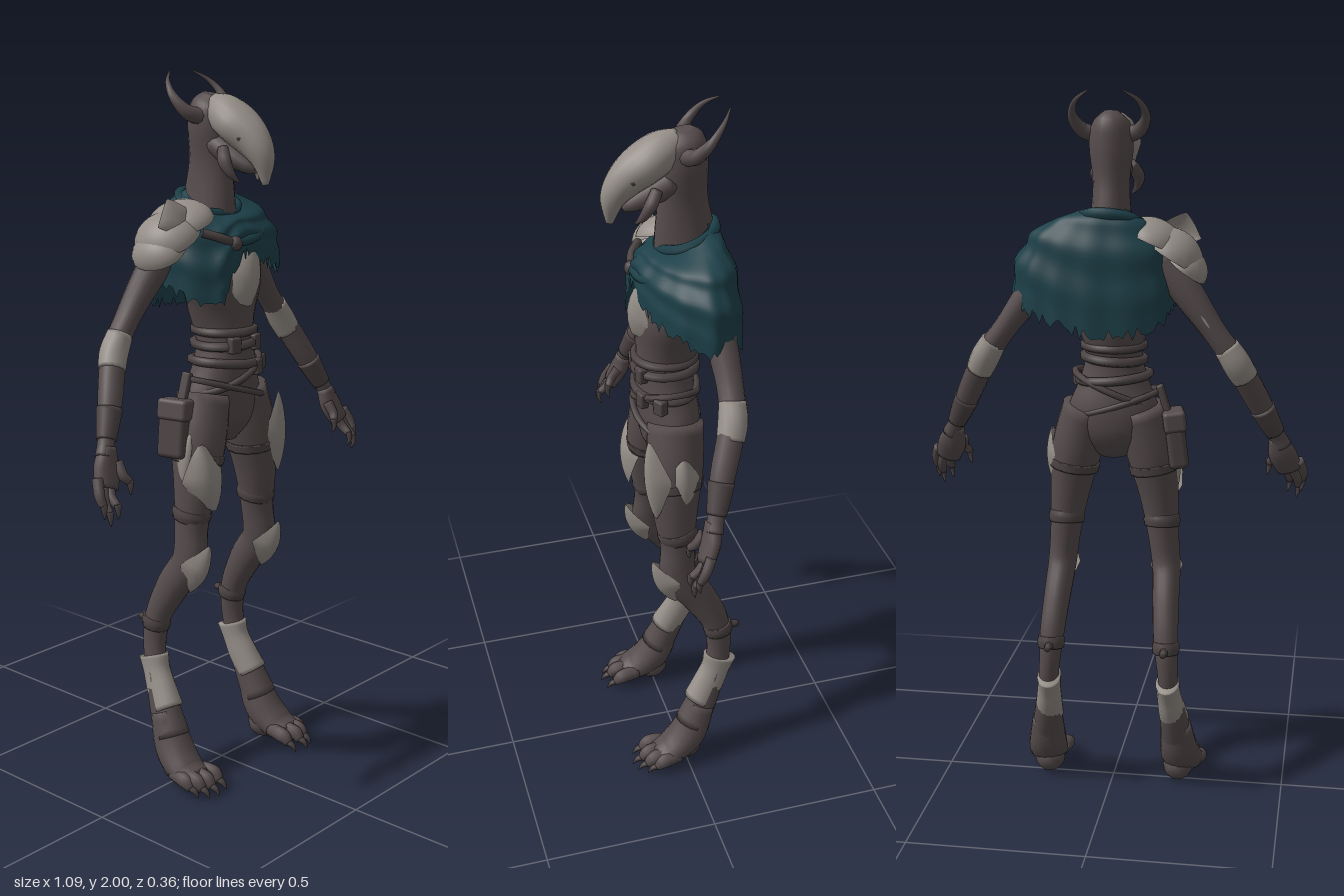
import * as THREE from 'three';
import { RoundedBoxGeometry } from 'three/addons/geometries/RoundedBoxGeometry.js';

const V = (x, y, z) => new THREE.Vector3(x, y, z);

// Indexed grid of rows x cols points, optionally closed around its columns
function grid(rows, cols, wrap, fn) {
  const pos = [], idx = [];
  for (let i = 0; i <= rows; i++)
    for (let j = 0; j < (wrap ? cols : cols + 1); j++) pos.push(...fn(i, j).toArray());
  const n = wrap ? cols : cols + 1;
  for (let i = 0; i < rows; i++)
    for (let j = 0; j < cols; j++) {
      const a = i * n + j, b = i * n + (j + 1) % n;
      idx.push(a, b, a + n, b, b + n, a + n);
    }
  const g = new THREE.BufferGeometry();
  g.setAttribute('position', new THREE.Float32BufferAttribute(pos, 3));
  g.setIndex(idx);
  g.computeVertexNormals();
  return g;
}

// Closed tapering body along a spline; each point is [x, y, z, radiusAcross, radiusDeep]
function limbGeometry(pts, sides = 14, ref = V(1, 0, 0)) {
  const path = new THREE.CatmullRomCurve3(pts.map(p => V(p[0], p[1], p[2])), false, 'catmullrom');
  const size = new THREE.CatmullRomCurve3(pts.map(p => V(p[3], p[4] ?? p[3], 0)), false, 'catmullrom');
  const steps = (pts.length - 1) * 5;
  return grid(steps + 2, sides, true, (i, j) => {
    const t = THREE.MathUtils.clamp((i - 1) / steps, 0, 1);
    const c = path.getPoint(t), r = size.getPoint(t), d = path.getTangent(t);
    const across = ref.clone().addScaledVector(d, -ref.dot(d)).normalize();
    const deep = d.clone().cross(across);
    const k = i === 0 || i === steps + 2 ? 0 : 1, a = j / sides * Math.PI * 2;
    return c.addScaledVector(across, k * Math.max(r.x, 0.002) * Math.cos(a))
      .addScaledVector(deep, k * Math.max(r.y, 0.002) * Math.sin(a));
  });
}

// Pointed curved armour plate bulging toward +z
function plateGeometry(w, h, d, sharp = 0.6) {
  return grid(12, 10, false, (i, j) => {
    const v = i / 6 - 1, u = j / 5 - 1;
    const p = Math.pow(Math.max(1 - Math.abs(v), 0.02), sharp);
    return V(u * w * p, v * h, d * (1 - u * u * p) * (1 - 0.4 * v * v));
  });
}

// Closed belt around an elliptical waist
function beltGeometry(y, rx, rz, r, tilt = 0, cz = 0) {
  const pts = [];
  for (let k = 0; k < 16; k++) {
    const a = k / 16 * Math.PI * 2;
    pts.push(V(rx * Math.cos(a), y + tilt * Math.cos(a), cz + rz * Math.sin(a)));
  }
  return new THREE.TubeGeometry(new THREE.CatmullRomCurve3(pts, true), 48, r, 6, true);
}

export function createModel() {
  const model = new THREE.Group();
  const material = (name, color, side = THREE.FrontSide) => {
    const m = new THREE.MeshStandardMaterial({ color, side });
    m.name = name;
    return m;
  };
  const skin = material('dark hide', 0x564c4d);
  const bone = material('weathered bone', 0x958e88, THREE.DoubleSide);
  const cloth = material('teal cloth', 0x1d4049, THREE.DoubleSide);
  const leather = material('dark leather', 0x4d4444);
  const claw = material('claw', 0x463d3d);

  const add = (name, geometry, mat, p = [0, 0, 0], r = [0, 0, 0]) => {
    const m = new THREE.Mesh(geometry, mat);
    m.name = name;
    m.position.set(...p);
    m.rotation.set(...r);
    model.add(m);
    return m;
  };
  const limb = (name, mat, pts, s = 1, sides, ref) =>
    add(name, limbGeometry(pts.map(([x, ...q]) => [s * x, ...q]), sides, ref), mat);

  // Torso, neck and head
  limb('torso', skin, [[0, 1.63, -0.055, 0.08, 0.055], [0, 1.55, -0.035, 0.16, 0.085], [0, 1.45, -0.005, 0.135, 0.095],
    [0, 1.36, 0, 0.1, 0.09], [0, 1.28, 0.01, 0.08, 0.08], [0, 1.2, 0.01, 0.1, 0.083],
    [0, 1.12, 0, 0.13, 0.085], [0, 1.05, 0, 0.11, 0.075], [0, 0.99, 0, 0.04, 0.04]], 1, 24);
  limb('neck', skin, [[0, 1.56, -0.05, 0.07, 0.09], [0, 1.67, -0.045, 0.055, 0.08], [0, 1.76, -0.04, 0.05, 0.067],
    [0, 1.85, -0.04, 0.06, 0.066], [0, 1.91, -0.04, 0.052, 0.06], [0, 1.942, -0.035, 0.02, 0.03]], 1, 20);
  limb('skullMask', bone, [[0, 1.915, -0.035, 0.03, 0.032], [0, 1.892, 0.008, 0.055, 0.052], [0, 1.86, 0.062, 0.066, 0.054],
    [0, 1.822, 0.112, 0.05, 0.048], [0, 1.775, 0.145, 0.033, 0.034], [0, 1.708, 0.155, 0.006, 0.01]], 1, 18);
  limb('jaw', skin, [[0, 1.81, -0.01, 0.05, 0.04], [0, 1.78, 0.05, 0.045, 0.034], [0, 1.755, 0.1, 0.028, 0.022],
    [0, 1.745, 0.122, 0.012, 0.01]]);

  for (const s of [1, -1]) {
    // Head details
    limb('horn', skin, [[0.04, 1.88, -0.035, 0.024], [0.078, 1.895, -0.055, 0.02], [0.098, 1.932, -0.085, 0.013],
      [0.084, 1.972, -0.12, 0.007], [0.045, 2, -0.15, 0.002]], s, 10, V(0, 0, 1));
    limb('cheekTusk', skin, [[0.04, 1.8, 0.04, 0.016], [0.058, 1.77, 0.06, 0.018], [0.055, 1.738, 0.08, 0.012],
      [0.038, 1.715, 0.095, 0.003]], s, 8);
    const eye = add('eyeSocket', new THREE.SphereGeometry(0.011, 10, 8), claw, [s * 0.048, 1.828, 0.108], [0.5, s * 0.95, 0]);
    eye.scale.set(1, 0.7, 0.35);

    // Arms and hands
    limb('arm', skin, [[0.14, 1.56, -0.06, 0.05], [0.21, 1.47, -0.075, 0.044], [0.29, 1.36, -0.082, 0.033, 0.036],
      [0.35, 1.275, -0.072, 0.036], [0.41, 1.16, -0.03, 0.034], [0.455, 1.07, 0, 0.024], [0.475, 1.03, 0.012, 0.027, 0.024]], s);
    limb('forearmWrap', leather, [[0.418, 1.145, -0.024, 0.036], [0.44, 1.1, -0.01, 0.031], [0.455, 1.07, 0, 0.027]], s);
    limb('palm', skin, [[0.46, 1.055, 0.008, 0.024], [0.475, 1.005, 0.02, 0.04, 0.024], [0.495, 0.955, 0.04, 0.036, 0.02]], s);
    const fingers = [[0.52, 0.97, 0.532, 0.905, 0.065], [0.5, 0.95, 0.52, 0.885, 0.075],
      [0.478, 0.955, 0.495, 0.9, 0.078], [0.447, 1.0, 0.436, 0.95, 0.065]];
    for (const [x0, y0, x1, y1, z] of fingers) {
      const ym = (y0 + y1) / 2;
      limb('finger', skin, [[x0, y0 + 0.015, 0.032, 0.015], [(x0 + x1) / 2 + 0.007, ym + 0.01, 0.052, 0.014],
        [x1, y1 + 0.016, z, 0.011]], s, 8);
      limb('fingerClaw', skin, [[x1, y1 + 0.02, z, 0.011], [x1, y1, z + 0.003, 0.007], [x1 - 0.005, y1 - 0.02, z - 0.002, 0.002]], s, 6);
    }

    // Digitigrade legs and feet
    limb('leg', skin, [[0.075, 1.13, 0, 0.07, 0.08], [0.108, 1.0, 0.01, 0.072, 0.08], [0.128, 0.88, 0.015, 0.057, 0.066],
      [0.142, 0.76, 0.012, 0.045, 0.05], [0.152, 0.66, 0.01, 0.041, 0.054], [0.158, 0.57, -0.05, 0.038, 0.05],
      [0.165, 0.47, -0.1, 0.035, 0.04], [0.174, 0.35, -0.105, 0.029, 0.036], [0.186, 0.22, -0.06, 0.04, 0.046],
      [0.195, 0.13, -0.02, 0.052, 0.052]], s, 16);
    limb('foot', skin, [[0.192, 0.2, -0.05, 0.042, 0.042], [0.197, 0.1, -0.01, 0.056, 0.055], [0.205, 0.05, 0.045, 0.058, 0.044],
      [0.208, 0.035, 0.095, 0.05, 0.028]], s, 16);
    const heel = add('heel', new THREE.SphereGeometry(0.045, 12, 10), skin, [s * 0.193, 0.045, 0]);
    heel.scale.set(1, 1, 1.1);
    for (const [x0, x1, z] of [[0.165, 0.158, 0.125], [0.195, 0.2, 0.135], [0.223, 0.23, 0.125], [0.24, 0.25, 0.1]]) {
      limb('toe', skin, [[x0, 0.045, z - 0.07, 0.021], [x1, 0.042, z - 0.02, 0.022], [x1, 0.024, z + 0.005, 0.014]], s, 9);
      limb('toeClaw', claw, [[x1, 0.028, z, 0.012], [x1, 0.021, z + 0.02, 0.008], [x1, 0.006, z + 0.032, 0.002]], s, 7);
    }

    // Leg guards and wraps
    add('kneePlate', plateGeometry(0.048, 0.082, 0.062, 0.65), bone, [s * 0.15, 0.66, 0.022], [0.42, s * 0.1, s * 0.03]);
    limb('shinGuard', bone, [[0.172, 0.352, -0.112, 0.034, 0.052], [0.175, 0.31, -0.098, 0.034, 0.045],
      [0.18, 0.26, -0.075, 0.038, 0.048], [0.187, 0.205, -0.042, 0.043, 0.047]], s, 16);
    for (const [x, y, z, r] of [[0.166, 0.455, -0.103, 0.037], [0.138, 0.8, 0.013, 0.05]])
      limb('legWrap', leather, [[x, y + 0.017, z, r, r * 1.12], [x, y, z - 0.003, r + 0.003, r * 1.18], [x, y - 0.017, z - 0.006, r, r * 1.12]], s);
    limb('ankleSpur', claw, [[0.165, 0.455, -0.13, 0.015], [0.165, 0.455, -0.17, 0.01]], s, 7);
    limb('thighStrap', leather, [[0.112, 0.97, 0.01, 0.073, 0.08], [0.116, 0.945, 0.01, 0.071, 0.078]], s);
  }

  // Loose bone plates on body and limbs
  add('chestPlate', plateGeometry(0.068, 0.075, 0.04, 0.35), bone, [0.008, 1.45, 0.072], [-0.05, 0, -0.3]);
  add('leftThighPlate', plateGeometry(0.05, 0.12, 0.05), bone, [0.135, 0.995, 0.06], [0.02, 0.45, 0.08]);
  add('leftHipPlate', plateGeometry(0.045, 0.075, 0.035), bone, [0.158, 0.99, 0], [0, 1.5, 0.05]);
  add('rightThighPlate', plateGeometry(0.065, 0.1, 0.06), bone, [-0.135, 0.915, 0.045], [0.02, -0.35, 0.25]);
  add('rightHipPlate', plateGeometry(0.035, 0.075, 0.03), bone, [-0.16, 0.96, 0.02], [0, -1.0, -0.1]);
  limb('leftElbowGuard', bone, [[0.322, 1.322, -0.081, 0.036], [0.348, 1.278, -0.075, 0.04], [0.37, 1.235, -0.062, 0.038]]);
  limb('rightElbowGuard', bone, [[-0.32, 1.322, -0.08, 0.036], [-0.348, 1.278, -0.075, 0.04], [-0.372, 1.235, -0.06, 0.038]]);
  add('rightUpperArmPlate', plateGeometry(0.034, 0.1, 0.034, 0.35), bone, [-0.262, 1.4, -0.085], [0, Math.PI, 0.63]);

  // Cloak lofted from a neckline that dips at the front down to a ragged hem
  const hem = new THREE.CatmullRomCurve3([V(0.275, 1.44, -0.06), V(0.205, 1.475, 0.035), V(0.09, 1.505, 0.085), V(-0.02, 1.535, 0.095),
    V(-0.115, 1.4, 0.08), V(-0.18, 1.45, -0.03), V(-0.14, 1.4, -0.14), V(0, 1.375, -0.175), V(0.13, 1.4, -0.165),
    V(0.225, 1.435, -0.13)], true);
  const drape = new THREE.CatmullRomCurve3([V(0.38, 1.02, 0), V(0.68, 0.9, 0), V(0.87, 0.68, 0), V(0.97, 0.36, 0), V(1, 0, 0)]);
  add('cloak', grid(28, 120, true, (i, j) => {
    const t = i / 28, a = j / 120, h = hem.getPoint(a), d = drape.getPoint(t);
    const fold = 0.026 * Math.sin(t * 19 + 2.4 * Math.sin(a * Math.PI * 2 + 0.6)) * Math.sin(t * Math.PI)
      + 0.015 * t * Math.sin(a * Math.PI * 28);
    const f = d.x + fold, rag = Math.abs(Math.sin(j * 12.9) * 43.7) % 1;
    const top = 1.66 - 0.22 * (h.z + 0.05);
    const y = h.y + d.y * (top - h.y) - (i === 28 ? 0.035 * rag : 0);
    return V(h.x * f, y, -0.05 + (h.z + 0.05) * f);
  }), cloth);
  add('collar', beltGeometry(0, 0.083, 0.078, 0.016, 0.006), cloth, [0, 1.652, -0.052], [0.36, 0, 0]);
  const sash = [V(-0.05, 1.55, 0.085), V(0.04, 1.56, 0.08), V(0.13, 1.58, 0.035), V(0.19, 1.595, -0.04)];
  add('cloakRoll', new THREE.TubeGeometry(new THREE.CatmullRomCurve3(sash), 24, 0.015, 8), cloth);
  add('cloakClasp', new THREE.SphereGeometry(0.02, 12, 8), leather, [-0.045, 1.552, 0.088]);

  // Layered shoulder guard on the right: shallow flared shells with a raised corner
  [[-0.115, 1.6, 0.085, 0.062, 0.1, 0.4], [-0.165, 1.56, 0.09, 0.075, 0.098, 0.55], [-0.2, 1.525, 0.066, 0.06, 0.085, 0.65]]
    .forEach(([x, y, sx, sy, sz, tilt]) => {
      const m = add('shoulderGuard', new THREE.SphereGeometry(1, 20, 10, 0, Math.PI * 2, 0, 1.5), bone, [x, y, -0.045], [0, 0, tilt]);
      m.scale.set(sx, sy, sz);
    });
  add('shoulderCorner', plateGeometry(0.06, 0.055, 0.02, 0.8), bone, [-0.185, 1.622, -0.005], [-0.35, -0.2, 0.25]);
  add('shoulderStrap', new THREE.TubeGeometry(new THREE.CatmullRomCurve3(
    [V(-0.13, 1.585, 0.045), V(-0.09, 1.57, 0.075), V(-0.045, 1.552, 0.088)]), 12, 0.012, 6), leather);

  // Belts, buckles and hip pouch
  for (const [y, rx, rz, r, tilt] of [[1.305, 0.083, 0.083, 0.013, 0], [1.27, 0.083, 0.084, 0.014, 0.005],
    [1.215, 0.1, 0.085, 0.013, -0.01], [1.185, 0.11, 0.087, 0.01, 0.045], [1.14, 0.129, 0.088, 0.009, -0.04]])
    add('belt', beltGeometry(y, rx, rz, r, tilt, 0.008), leather);
  for (const [x, y, z] of [[-0.045, 1.272, 0.085], [0.04, 1.272, 0.085], [0.05, 1.2, 0.085], [0.105, 1.2, 0.05]])
    add('beltPocket', new RoundedBoxGeometry(0.035, 0.045, 0.028, 2, 0.006), leather, [x, y, z], [0, x * 5, 0]);
  add('pouch', new RoundedBoxGeometry(0.055, 0.16, 0.085, 3, 0.015), leather, [-0.178, 1.045, -0.015], [0, 0.2, -0.12]);
  add('pouchFlap', new RoundedBoxGeometry(0.064, 0.06, 0.094, 3, 0.012), skin, [-0.172, 1.1, -0.015], [0, 0.2, -0.12]);
  add('pouchStrap', new RoundedBoxGeometry(0.02, 0.1, 0.03, 2, 0.006), leather, [-0.145, 1.15, -0.01], [0, 0, -0.3]);

  return model;
}
